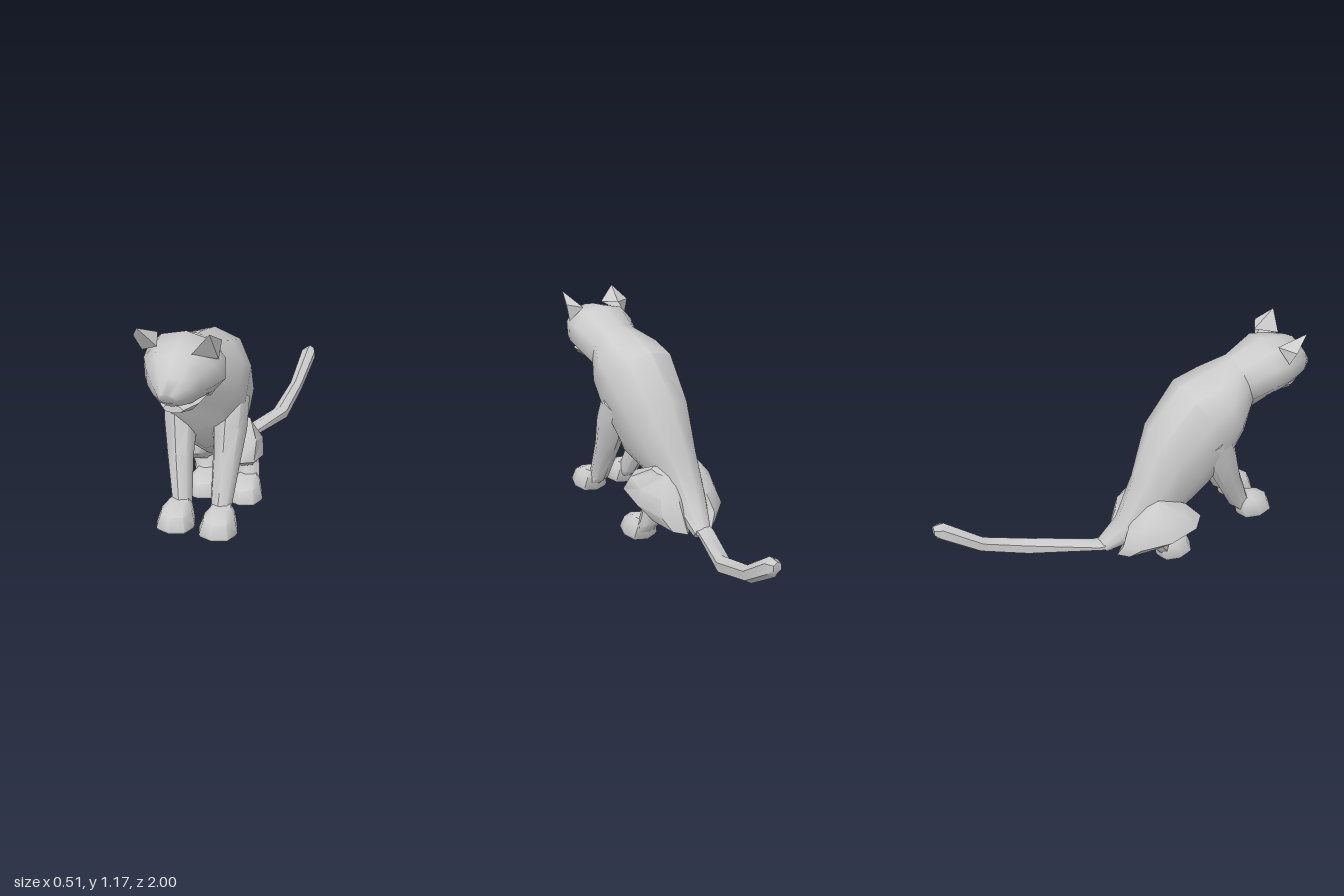
import * as THREE from 'three';
import { toCreasedNormals } from 'three/addons/utils/BufferGeometryUtils.js';

const material = new THREE.MeshStandardMaterial({ color: 0xcccccc });
const thinMaterial = new THREE.MeshStandardMaterial({ color: 0xcccccc, side: THREE.DoubleSide });

// Skin over rings, each [centreX, halfWidth, y1, z1, y2, z2, skew]:
// (y1, z1) and (y2, z2) are opposite points of the ring in side view,
// skew moves the first one sideways and the second one the other way.
function loft(name, rings, { sides = 8, power = 1, crease = 0.8 } = {}) {
  const pos = [], index = [];
  const soft = v => Math.sign(v) * Math.abs(v) ** power;
  for (const [cx, hw, y1, z1, y2, z2, skew = 0] of rings) {
    for (let i = 0; i < sides; i++) {
      const a = (i / sides) * Math.PI * 2;
      const s = soft(Math.sin(a)), c = soft(Math.cos(a));
      pos.push(cx + hw * s + skew * c, (y1 + y2) / 2 + c * (y1 - y2) / 2, (z1 + z2) / 2 + c * (z1 - z2) / 2);
    }
  }
  for (let r = 0; r < rings.length - 1; r++) {
    for (let i = 0; i < sides; i++) {
      const a = r * sides + i, b = r * sides + (i + 1) % sides;
      index.push(a, b, a + sides, b, b + sides, a + sides);
    }
  }
  const last = (rings.length - 1) * sides;
  for (let i = 1; i < sides - 1; i++) {
    index.push(0, i + 1, i, last, last + i, last + i + 1);
  }
  // Turn the faces outward, whichever way the rings run
  let volume = 0;
  const p = k => new THREE.Vector3().fromArray(pos, index[k] * 3);
  for (let k = 0; k < index.length; k += 3) volume += p(k).dot(p(k + 1).cross(p(k + 2)));
  if (volume < 0) index.reverse();

  const geometry = new THREE.BufferGeometry();
  geometry.setAttribute('position', new THREE.Float32BufferAttribute(pos, 3));
  geometry.setIndex(index);
  const mesh = new THREE.Mesh(toCreasedNormals(geometry, crease), material);
  mesh.name = name;
  return mesh;
}

// Ear with a flat front of four corners and a folded back meeting at the root
function ear(name, tip, outer, inner, base, root) {
  const geometry = new THREE.BufferGeometry();
  const tris = [tip, outer, base, tip, base, inner, tip, outer, root, tip, root, inner, outer, base, root];
  geometry.setAttribute('position', new THREE.Float32BufferAttribute(tris.flat(), 3));
  geometry.computeVertexNormals();
  const mesh = new THREE.Mesh(geometry, thinMaterial);
  mesh.name = name;
  return mesh;
}

// Flat-soled paw, stacked from the sole up
function paw(name, x, dy, dz) {
  const rings = [
    [0.085, 0.128, 0.785, 0.107, 0.60], [0.092, 0.14, 0.79, 0.125, 0.59],
    [0.073, 0.20, 0.765, 0.19, 0.58], [0.045, 0.23, 0.69, 0.225, 0.59],
  ].map(([hw, y1, z1, y2, z2]) => [x, hw, y1 + dy, z1 + dz, y2 + dy, z2 + dz]);
  return loft(name, rings, { power: 0.85, crease: 0.9 });
}

export function createModel() {
  const model = new THREE.Group();
  model.name = 'sittingCat';

  // Torso from neck to rump
  model.add(loft('torso', [
    [0.03, 0.14, 1.035, 0.55, 0.76, 0.64],
    [0.015, 0.205, 0.99, 0.40, 0.66, 0.58],
    [0.015, 0.212, 0.95, 0.26, 0.55, 0.53],
    [0.01, 0.185, 0.74, 0.09, 0.38, 0.40],
    [-0.015, 0.125, 0.48, -0.01, 0.30, 0.30],
    [-0.025, 0.09, 0.26, -0.10, 0.15, 0.06],
    [0.0, 0.05, 0.14, -0.19, 0.08, -0.16],
  ], { sides: 10, power: 0.92 }));

  // Head with tapering muzzle, and the lower jaw
  model.add(loft('head', [
    [0.03, 0.14, 1.035, 0.55, 0.76, 0.64],
    [0.035, 0.185, 1.11, 0.71, 0.82, 0.73],
    [0.035, 0.165, 1.10, 0.81, 0.83, 0.80],
    [0.04, 0.125, 1.08, 0.90, 0.843, 0.88],
    [0.045, 0.08, 1.01, 0.96, 0.865, 0.94],
    [0.045, 0.04, 0.945, 0.998, 0.895, 0.975],
  ], { sides: 10, power: 0.95, crease: 1 }));
  model.add(loft('jaw', [
    [0.04, 0.12, 0.92, 0.72, 0.815, 0.72],
    [0.045, 0.095, 0.90, 0.85, 0.813, 0.87],
    [0.045, 0.045, 0.86, 0.915, 0.825, 0.92],
  ]));

  // Ears
  model.add(ear('rightEar', [-0.12, 1.17, 0.88], [-0.17, 1.10, 0.80],
    [-0.04, 1.09, 0.86], [-0.14, 1.03, 0.78], [-0.08, 1.105, 0.745]));
  model.add(ear('leftEar', [0.19, 1.175, 0.87], [0.215, 1.12, 0.78],
    [0.11, 1.075, 0.86], [0.20, 1.03, 0.78], [0.14, 1.105, 0.735]));

  // Legs: each side carries its own x positions, as the pose is not symmetric
  const poses = [
    { side: 'right', front: [-0.112, -0.095, -0.078, -0.04, -0.04], thigh: [-0.095, -0.12, -0.143, -0.11], skew: -0.02, shin: [-0.125, -0.09], hind: -0.07 },
    { side: 'left', front: [0.143, 0.147, 0.148, 0.15, 0.165], thigh: [0.085, 0.105, 0.10, 0.09], skew: 0.035, shin: [0.12, 0.135], hind: 0.148 },
  ];
  for (const { side, front, thigh, skew, shin, hind } of poses) {
    model.add(loft(side + 'FrontLeg', [
      [front[0], 0.08, 0.74, 0.47, 0.62, 0.31],
      [front[1], 0.082, 0.58, 0.53, 0.50, 0.37],
      [front[2], 0.066, 0.42, 0.57, 0.36, 0.45],
      [front[3], 0.05, 0.22, 0.65, 0.18, 0.55],
      [front[4], 0.05, 0.16, 0.68, 0.14, 0.60],
    ]));
    model.add(paw(side + 'FrontPaw', front[4], 0, 0));
    model.add(loft(side + 'Thigh', [
      [thigh[0], 0.04, 0.41, 0.09, 0.36, 0.01, skew],
      [thigh[1], 0.10, 0.35, 0.23, 0.26, -0.07, skew],
      [thigh[2], 0.115, 0.265, 0.31, 0.165, -0.11, skew],
      [thigh[3], 0.072, 0.18, 0.18, 0.095, -0.13, skew],
    ]));
    model.add(loft(side + 'HindLeg', [
      [shin[0], 0.065, 0.22, 0.13, 0.19, 0.03],
      [shin[1], 0.06, 0.13, 0.15, 0.10, 0.05],
      [hind, 0.06, 0.06, 0.19, 0.03, 0.11],
    ]));
    model.add(paw(side + 'HindPaw', hind, -0.107, -0.49));
  }

  // Tail
  model.add(loft('tail', [
    [-0.01, 0.05, 0.15, -0.14, 0.09, -0.14],
    [0.0, 0.05, 0.14, -0.21, 0.105, -0.20],
    [0.135, 0.043, 0.17, -0.53, 0.08, -0.55],
    [0.165, 0.036, 0.23, -0.76, 0.15, -0.79],
    [0.19, 0.043, 0.36, -0.945, 0.275, -0.985],
    [0.19, 0.025, 0.355, -1.0, 0.30, -1.0],
  ], { sides: 6 }));

  return model;
}
